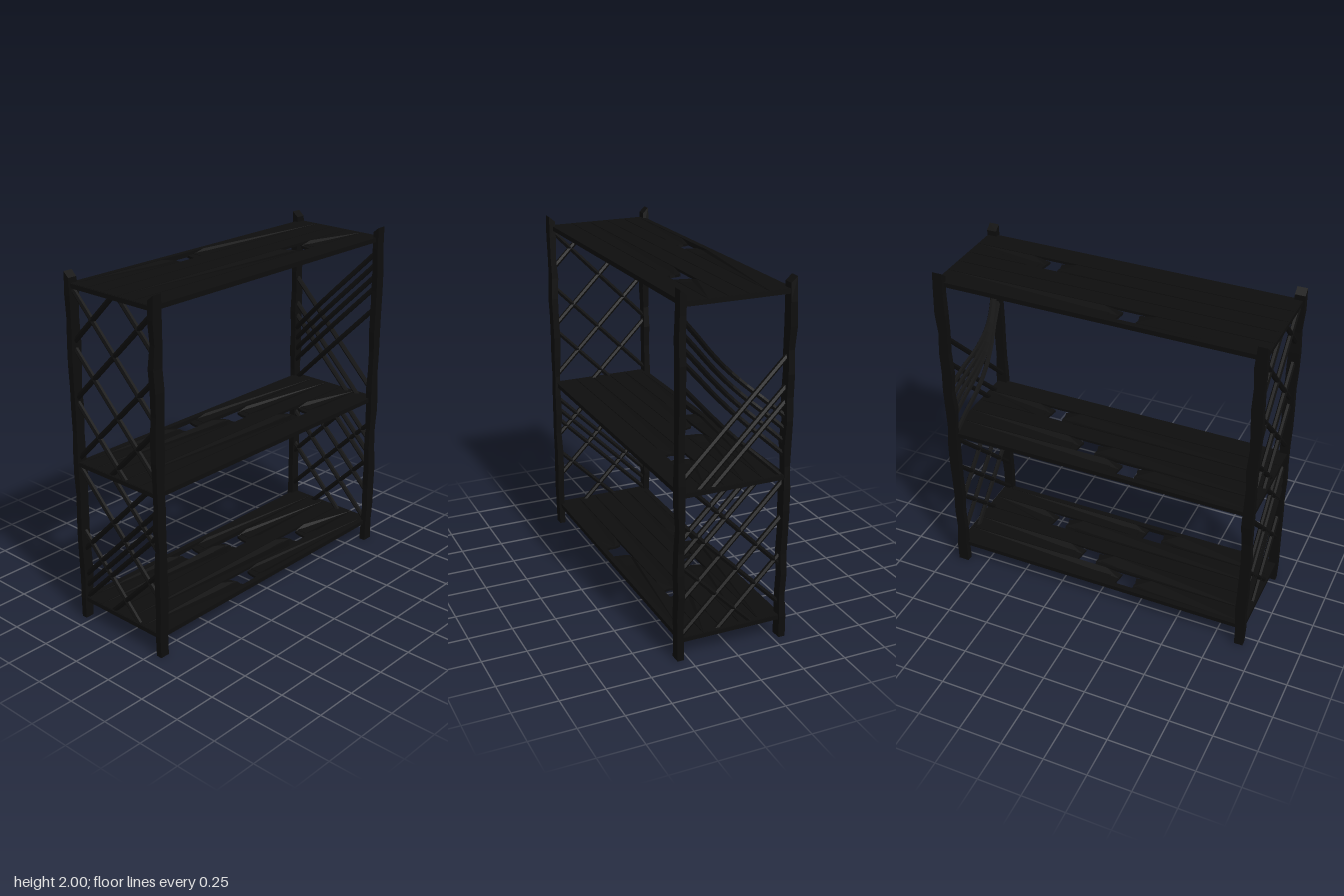
import * as THREE from 'three';

const wood = new THREE.MeshStandardMaterial({ color: 0x0d0d0d, flatShading: true });

// Small seeded generator for the hand-hewn wobble
let seed = 11;
const rnd = () => ((seed = (seed * 16807) % 2147483647) / 2147483647) * 2 - 1;

function add(parent, geometry, name) {
  const mesh = new THREE.Mesh(geometry, wood);
  mesh.name = name;
  parent.add(mesh);
  return mesh;
}

function box(parent, name, size, pos) {
  add(parent, new THREE.BoxGeometry(...size), name).position.set(...pos);
}

// Crooked post: a tall box whose rings shift and swell, with a slanted tip
function post(parent, name, x, z) {
  const rings = 16;
  const g = new THREE.BoxGeometry(0.036, 2, 0.058, 1, rings, 1);
  const wobble = Array.from({ length: rings + 1 }, () => [rnd() * 0.004, rnd() * 0.004, 1 + rnd() * 0.12]);
  const p = g.attributes.position;
  for (let i = 0; i < p.count; i++) {
    const y = p.getY(i) + 1;
    const [dx, dz, s] = wobble[Math.round((y / 2) * rings)];
    const px = p.getX(i), pz = p.getZ(i);
    const slant = y > 1.99 && px * x < 0 ? 0.03 : 0;
    p.setXYZ(i, px * s + dx, y - slant, pz * s + dz);
  }
  g.computeVertexNormals();
  add(parent, g, name).position.set(x, 0, z);
}

// One board between z0 and z1; a broken end is jagged and sags a little
function board(parent, x, w, y, z0, z1, break0, break1) {
  const h = w / 2;
  const s = new THREE.Shape();
  s.moveTo(-h, z0 + (break0 ? 0.02 : 0));
  if (break0) {
    s.lineTo(-h * 0.3, z0 + 0.008);
    s.lineTo(h * 0.2, z0 + 0.012);
  }
  s.lineTo(h, z0);
  if (break0) s.lineTo(h, z0 + 0.1);
  if (break1) s.lineTo(h, z1 - 0.1);
  s.lineTo(h, z1);
  if (break1) {
    s.lineTo(h * 0.2, z1 - 0.006);
    s.lineTo(-h * 0.4, z1 - 0.01);
  }
  s.lineTo(-h, z1 - (break1 ? 0.02 : 0));
  if (break1) s.lineTo(-h, z1 - 0.1);
  if (break0) s.lineTo(-h, z0 + 0.1);
  const g = new THREE.ExtrudeGeometry(s, { depth: 0.014, bevelEnabled: false });
  g.rotateX(Math.PI / 2);
  const p = g.attributes.position;
  for (let i = 0; i < p.count; i++) {
    const z = p.getZ(i);
    if ((break0 && z < z0 + 0.05) || (break1 && z > z1 - 0.05)) p.setY(i, p.getY(i) - 0.017);
  }
  g.computeVertexNormals();
  add(parent, g, 'shelfBoard').position.set(x, y + 0.013, 0);
}

// Shelf: five boards over cross slats, framed by rails; holes = {board: [z0, z1]}
function shelf(parent, name, y, holes) {
  const group = new THREE.Group();
  group.name = name;
  for (let i = 0; i < 5; i++) {
    const x = (i - 2) * 0.11, end = 0.915;
    if (holes[i]) {
      board(group, x, 0.106, y, -end, holes[i][0], false, true);
      board(group, x, 0.106, y, holes[i][1], end, true, false);
    } else board(group, x, 0.106, y, -end, end, false, false);
  }
  for (const z of [-0.84, -0.56, -0.28, 0, 0.28, 0.56, 0.84])
    box(group, 'crossSlat', [0.56, 0.011, z * z > 0.6 ? 0.14 : 0.1], [0, y - 0.0065, z]);
  for (const s of [-1, 1]) {
    box(group, 'sideRail', [0.032, 0.026, 1.83], [s * 0.284, y, 0]);
    box(group, 'endRail', [0.6, 0.024, 0.03], [0, y, s * 0.905]);
  }
  parent.add(group);
}

// Diagonal lath y = c + dir * x, clipped to the panel; bulge pushes it inward
function lath(parent, z, c, dir, low, high, bulge) {
  const xs = [(low - c) * dir, (high - c) * dir].sort((a, b) => a - b);
  const x0 = Math.max(-0.3, xs[0]), x1 = Math.min(0.3, xs[1]);
  if (x1 - x0 < 0.03) return;
  const pts = [];
  for (let i = 0; i <= 6; i++) {
    const t = i / 6, x = x0 + (x1 - x0) * t;
    const k = bulge * Math.sin(Math.PI * t) ** 1.5;
    pts.push(new THREE.Vector3(x, c + dir * x - k * 0.3, z + k));
  }
  const curve = new THREE.CatmullRomCurve3(pts);
  add(parent, new THREE.TubeGeometry(curve, bulge ? 16 : 6, 0.0145, 6), 'diagonalLath');
}

function panel(parent, name, z, low, high, up, down, bulge = 0) {
  const group = new THREE.Group();
  group.name = name;
  up.forEach((c, i) => lath(group, z, c, 1, low, high, bulge * (1 - 0.12 * i)));
  down.forEach((c) => lath(group, z, c, -1, low, high, 0));
  parent.add(group);
}

export function createModel() {
  const model = new THREE.Group();
  model.name = 'shelfUnit';

  post(model, 'frontLeftPost', 0.3, 0.9);
  post(model, 'frontRightPost', -0.3, 0.9);
  post(model, 'backLeftPost', 0.3, -0.895);
  post(model, 'backRightPost', -0.3, -0.895);

  const right = [0.11, 0.2], mid = [-0.18, -0.09], left = [-0.47, -0.4];
  shelf(model, 'topShelf', 1.928, { 0: right, 3: left });
  shelf(model, 'middleShelf', 0.942, { 0: right, 1: mid, 3: left });
  shelf(model, 'bottomShelf', 0.12, { 0: right, 1: mid, 3: left, 4: [0.1, 0.2] });

  // Lath lattices filling both ends
  panel(model, 'frontUpperLattice', 0.9, 0.94, 1.93, [1.92, 1.61, 1.27, 1.0], [1.98, 1.62, 1.3, 1.0]);
  panel(model, 'frontLowerLattice', 0.9, 0.12, 0.94, [0.72, 0.56, 0.49, 0.42, 0.2], [0.9, 0.62, 0.25]);
  panel(model, 'backUpperLattice', -0.89, 0.94, 1.93, [1.56, 1.49, 1.42, 1.35, 1.22], [1.3, 1.14, 1.06], 0.095);
  panel(model, 'backLowerLattice', -0.89, 0.12, 0.94, [0.72, 0.49, 0.25], [0.97, 0.88, 0.8, 0.62, 0.42, 0.2]);
  return model;
}
